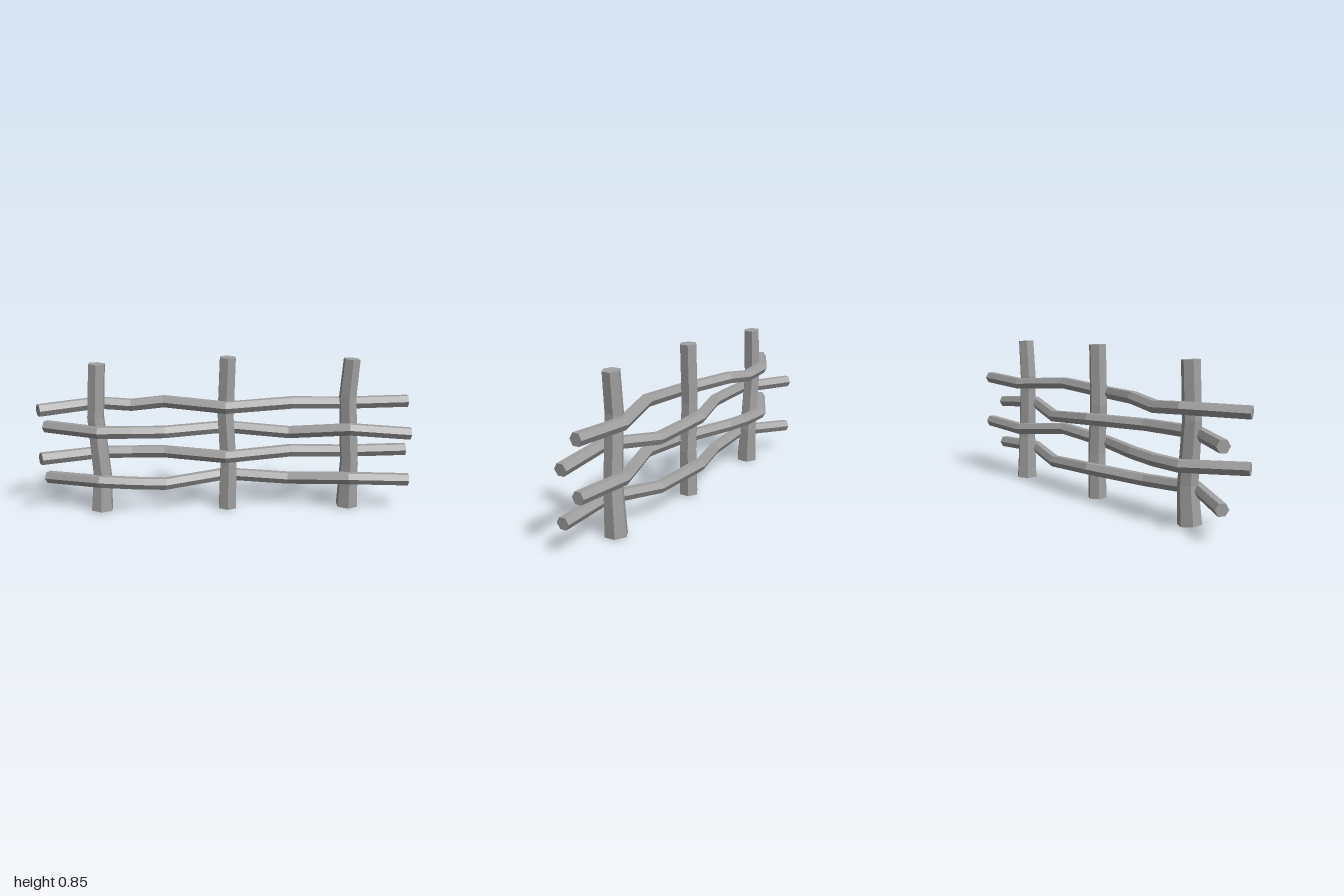
import * as THREE from 'three';

// Six-sided stick swept along points [x, y, z, radius]; corners point along +-z
function stick(points) {
  const SIDES = 6;
  const centres = points.map(p => new THREE.Vector3(p[0], p[1], p[2]));
  const last = centres.length - 1;
  const rings = centres.map((c, i) => {
    const before = centres[Math.max(i - 1, 0)], after = centres[Math.min(i + 1, last)];
    const a = c.clone().sub(before).normalize(), b = after.clone().sub(c).normalize();
    const along = a.add(b).normalize();
    const u = new THREE.Vector3(0, 0, 1).addScaledVector(along, -along.z).normalize();
    const v = new THREE.Vector3().crossVectors(along, u);
    return Array.from({ length: SIDES }, (_, k) => {
      const t = k / SIDES * Math.PI * 2;
      return c.clone().addScaledVector(u, Math.cos(t) * points[i][3])
        .addScaledVector(v, Math.sin(t) * points[i][3]);
    });
  });
  const out = [];
  const tri = (...corners) => corners.forEach(p => out.push(p.x, p.y, p.z));
  for (let k = 0; k < SIDES; k++) {
    const n = (k + 1) % SIDES;
    for (let i = 0; i < last; i++) {
      const a = rings[i], b = rings[i + 1];
      tri(a[k], a[n], b[n]);
      tri(a[k], b[n], b[k]);
    }
    // end caps
    tri(centres[0], rings[0][n], rings[0][k]);
    tri(centres[last], rings[last][k], rings[last][n]);
  }
  const g = new THREE.BufferGeometry();
  g.setAttribute('position', new THREE.Float32BufferAttribute(out, 3));
  g.computeVertexNormals();
  return g;
}

export function createModel() {
  const group = new THREE.Group();
  const wood = new THREE.MeshStandardMaterial({ color: 0xa0a0a0, flatShading: true });
  wood.name = 'greyWood';
  const add = (name, points) => {
    const mesh = new THREE.Mesh(stick(points), wood);
    mesh.name = name;
    group.add(mesh);
  };

  // Upright posts, slightly bent and wider at the foot
  add('rightPost', [[-0.68, 0, 0.015, 0.063], [-0.672, 0.2, 0.005, 0.053], [-0.698, 0.52, 0, 0.049], [-0.682, 0.81, 0, 0.048]]);
  add('middlePost', [[0.01, 0, 0, 0.054], [0.016, 0.25, 0, 0.05], [0, 0.52, 0, 0.049], [0.012, 0.842, 0.002, 0.048]]);
  add('leftPost', [[0.677, 0, -0.008, 0.062], [0.68, 0.25, 0, 0.052], [0.66, 0.62, -0.002, 0.049], [0.676, 0.828, -0.002, 0.047]]);

  // Woven rails: the two weaves pass the posts on opposite sides
  const R = 0.035;
  const weaveA = [[-0.985, 0.095], [-0.69, -0.066], [-0.51, -0.066], [-0.33, -0.046], [0, 0.058], [0.35, 0.037], [0.67, -0.057], [1, -0.051]];
  const weaveB = [[-0.985, -0.095], [-0.68, 0.061], [-0.5, 0.055], [-0.33, 0.044], [0, -0.065], [0.35, -0.04], [0.67, 0.058], [1, 0.046]];
  const rails = [
    ['topRail', weaveA, [0.582, 0.585, 0.571, 0.594, 0.58, 0.601, 0.576, 0.585]],
    ['upperRail', weaveB, [0.447, 0.45, 0.448, 0.446, 0.445, 0.416, 0.455, 0.425]],
    ['lowerRail', weaveA, [0.318, 0.305, 0.306, 0.311, 0.307, 0.335, 0.302, 0.31]],
    ['bottomRail', weaveB, [0.155, 0.176, 0.163, 0.154, 0.173, 0.153, 0.179, 0.164]],
  ];
  for (const [name, weave, heights] of rails)
    add(name, weave.map(([x, z], i) => [x, heights[i], z, R]));

  return group;
}
